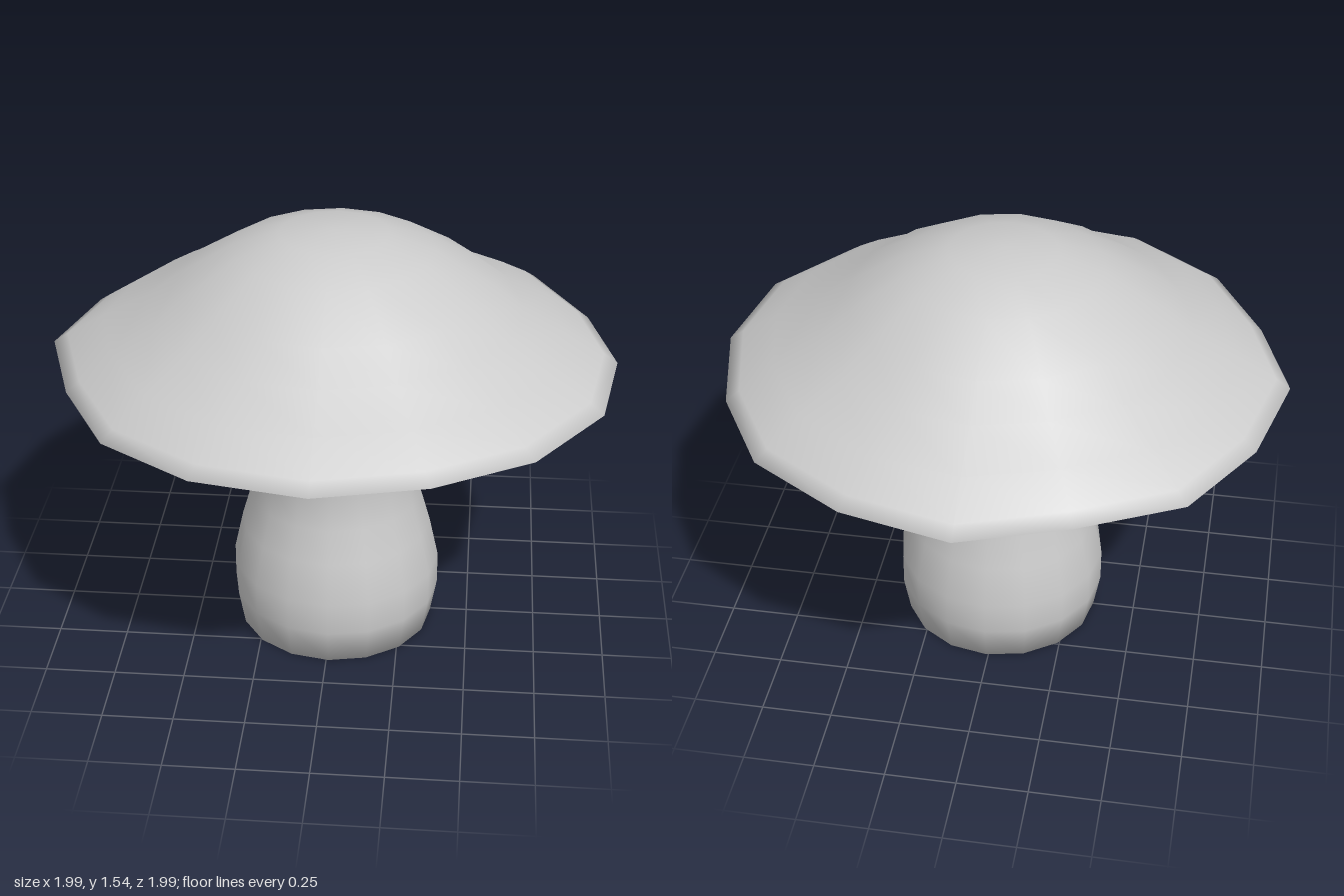
import * as THREE from 'three';
import { mergeVertices } from 'three/addons/utils/BufferGeometryUtils.js';

const SIDES = 16;

// Radius of each corner of the uneven rim, starting at the front and turning to +x
const RIM = [0.99, 0.98, 0.99, 1.005, 0.99, 0.975, 1, 0.99, 1, 0.955, 1, 0.98, 1, 0.955, 0.99, 1];

// Lathe with welded, fully smooth normals; warp(position, side) may move its vertices
function smoothLathe(name, profile, warp) {
  const points = profile.map(([r, y]) => new THREE.Vector2(r, y));
  let geometry = new THREE.LatheGeometry(points, SIDES);
  const pos = geometry.attributes.position;
  const v = new THREE.Vector3();
  for (let i = 0; i < pos.count; i++) {
    v.fromBufferAttribute(pos, i);
    if (warp) warp(v, Math.floor(i / points.length) % SIDES);
    pos.setXYZ(i, v.x, v.y, v.z);
  }
  geometry.deleteAttribute('uv');
  geometry.deleteAttribute('normal');
  geometry = mergeVertices(geometry, 1e-4);
  geometry.computeVertexNormals();
  const material = new THREE.MeshStandardMaterial({ color: 0xcccccc, side: THREE.DoubleSide });
  const mesh = new THREE.Mesh(geometry, material);
  mesh.name = name;
  return mesh;
}

export function createModel() {
  const group = new THREE.Group();
  group.name = 'mushroom';

  // Cap: shallow hollow underneath, thin rim, bell-shaped top
  const cap = smoothLathe('cap', [
    [0, 1.2], [0.3, 1.18], [0.45, 1.13], [0.7, 1.08], [0.96, 1.058],
    [1, 1.065], [0.95, 1.1], [0.82, 1.18], [0.66, 1.265], [0.54, 1.355],
    [0.35, 1.47], [0.19, 1.525], [0, 1.54],
  ], (v, side) => {
    // The unevenness fades out towards the middle
    const r = Math.hypot(v.x, v.z);
    const k = 1 + (RIM[side] - 1) * THREE.MathUtils.smoothstep(r, 0.4, 1);
    v.x *= k;
    v.z *= k;
    if (r > 0.9) v.y += 0.005 * Math.sin(side * 2.2);
  });

  // Stem: slightly hollow base, swollen foot, narrow neck flaring into the cap
  const stem = smoothLathe('stem', [
    [0, 0.07], [0.28, 0.05], [0.355, 0], [0.378, 0.13], [0.378, 0.25],
    [0.345, 0.4], [0.31, 0.52], [0.293, 0.64], [0.293, 0.9],
    [0.28, 1.03], [0.28, 1.08], [0.4, 1.16],
  ]);
  stem.position.set(0.008, 0, 0.008);

  group.add(cap, stem);
  return group;
}
